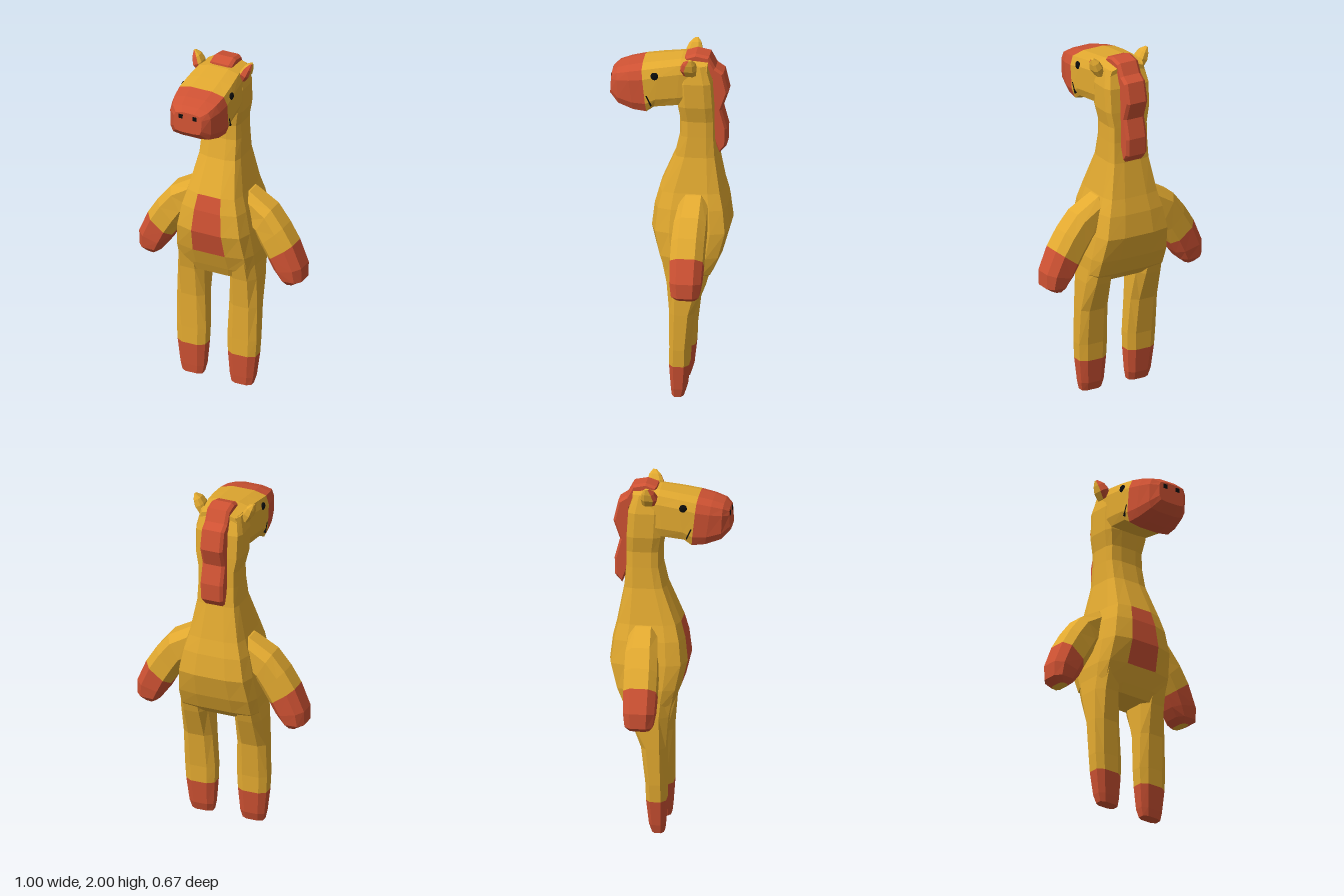
import * as THREE from 'three';

const mat = (color) => new THREE.MeshStandardMaterial({ color, flatShading: true });
const yellow = mat(0xe3aa30), red = mat(0xcf5233), black = mat(0x0c0c0c);
const V = (x, y, z) => new THREE.Vector3(x, y, z);

// Unit cross-sections; the last side of each one faces +v
const OCT = [[.55, 1], [1, .55], [1, -.55], [.55, -1], [-.55, -1], [-1, -.55], [-1, .55], [-.55, 1]];
const BOXY = [[.42, 1], [.88, .87], [1, .5], [1, -.55], [.88, -.92], [.42, -1],
  [-.42, -1], [-.88, -.92], [-1, -.55], [-1, .5], [-.88, .87], [-.42, 1]];

const ring = (shape, c, u, v) =>
  shape.map(([a, b]) => c.clone().addScaledVector(u, a).addScaledVector(v, b));

// Skin a closed solid over rings; isRed(i, j) picks the colour of band i, side j (caps: -1 and last)
function loft(name, rings, isRed = () => false) {
  const group = new THREE.Group();
  group.name = name;
  const tris = [];
  const n = rings[0].length, last = rings.length - 1;
  for (let i = 0; i < last; i++) {
    for (let j = 0; j < n; j++) {
      const k = (j + 1) % n, r = isRed(i, j);
      const [a, b, c, d] = [rings[i][j], rings[i][k], rings[i + 1][k], rings[i + 1][j]];
      tris.push([a, b, c, r], [a, c, d, r]);
    }
  }
  for (let j = 1; j < n - 1; j++) {
    tris.push([rings[0][0], rings[0][j + 1], rings[0][j], isRed(-1, j)]);
    tris.push([rings[last][0], rings[last][j], rings[last][j + 1], isRed(last, j)]);
  }
  // Turn the solid outward if its signed volume is negative
  const o = rings[0][0];
  const volume = tris.reduce((s, [a, b, c]) =>
    s + a.clone().sub(o).dot(b.clone().sub(o).cross(c.clone().sub(o))), 0);
  for (const wantRed of [false, true]) {
    const pos = [];
    for (const [a, b, c, r] of tris) {
      if (r !== wantRed) continue;
      for (const p of volume < 0 ? [a, c, b] : [a, b, c]) pos.push(p.x, p.y, p.z);
    }
    if (!pos.length) continue;
    const geo = new THREE.BufferGeometry();
    geo.setAttribute('position', new THREE.Float32BufferAttribute(pos, 3));
    geo.computeVertexNormals();
    const mesh = new THREE.Mesh(geo, wantRed ? red : yellow);
    mesh.name = name + (wantRed ? 'Red' : 'Yellow');
    group.add(mesh);
  }
  return group;
}

// Horizontal ring from x and z limits
const flatRing = (shape, y, x0, x1, z0, z1) =>
  ring(shape, V((x0 + x1) / 2, y, (z0 + z1) / 2), V((x1 - x0) / 2, 0, 0), V(0, 0, (z1 - z0) / 2));

function mesh(name, geo, material, x, y, z) {
  const m = new THREE.Mesh(geo, material);
  m.name = name;
  m.position.set(x, y, z);
  return m;
}

export function createModel() {
  const model = new THREE.Group();
  model.name = 'toyAnimal';

  // Torso and neck: y, half width, back z, front z; belly patch on the front
  const body = [
    [.685, .215, -.19, .0], [.74, .235, -.25, .025], [.84, .235, -.295, .065], [.98, .218, -.335, .1],
    [1.11, .192, -.32, .085], [1.2, .165, -.298, .06], [1.4, .125, -.26, -.025], [1.52, .12, -.25, -.052],
    [1.61, .118, -.25, -.053], [1.7, .137, -.247, -.037], [1.84, .14, -.238, -.03], [1.94, .12, -.205, -.05],
  ].map(([y, w, z0, z1]) => flatRing(BOXY, y, -w, w, z0, z1));
  model.add(loft('body', body, (i, j) => i >= 2 && i < 5 && j === 11));

  // Head with red muzzle: top z, bottom z, half width, top y, bottom y
  const head = [
    [-.21, -.2, .115, 1.955, 1.72], [-.06, -.04, .14, 1.964, 1.7], [.05, .085, .151, 1.948, 1.69],
    [.155, .125, .155, 1.932, 1.66], [.235, .2, .146, 1.914, 1.668], [.297, .287, .125, 1.893, 1.697],
    [.328, .335, .085, 1.866, 1.745],
  ].map(([zt, zb, w, yt, yb]) => ring(BOXY, V(0, (yt + yb) / 2, (zt + zb) / 2),
    V(w, 0, 0), V(0, (yt - yb) / 2, (zt - zb) / 2)));
  model.add(loft('head', head, (i) => i >= 3));

  // Mane: wavy side profile (back, up) extruded across the width
  const profile = [[.075, 1.94], [.08, 1.975], [.14, 1.995], [.215, 1.98], [.25, 1.915], [.295, 1.885], [.322, 1.77],
    [.285, 1.665], [.315, 1.555], [.312, 1.455], [.272, 1.41], [.235, 1.5], [.225, 1.85], [.17, 1.93]];
  const maneGeo = new THREE.ExtrudeGeometry(
    new THREE.Shape(profile.map(([x, y]) => new THREE.Vector2(x, y))),
    { depth: .1, bevelThickness: .017, bevelSize: .012, bevelOffset: -.012, bevelSegments: 1 });
  maneGeo.translate(0, 0, -.05).rotateY(Math.PI / 2);
  model.add(mesh('mane', maneGeo, red, 0, 0, 0));

  for (const s of [1, -1]) {
    const side = s > 0 ? 'left' : 'right';

    // Leg with red hoof: y, inner x, outer x, back z, front z
    const leg = [
      [0, .09, .212, -.088, -.022], [.05, .08, .224, -.105, -.017], [.19, .07, .24, -.12, -.008],
      [.29, .066, .246, -.123, -.01], [.5, .075, .246, -.147, -.01], [.68, .08, .242, -.215, .005],
      [.8, .09, .232, -.25, .03],
    ].map(([y, x0, x1, z0, z1]) => flatRing(OCT, y, s * x0, s * x1, z0, z1));
    model.add(loft(side + 'Leg', leg, (i) => i < 2));

    // Arm with red hand: outer edge x, y; inner edge x, y; back z, front z
    const arm = [
      [.11, 1.205, .11, 1, -.2, -.085], [.175, 1.195, .17, .98, -.22, -.06], [.31, 1.115, .215, .95, -.225, -.045],
      [.385, 1.02, .25, .89, -.222, -.038], [.445, .922, .297, .81, -.22, -.037], [.5, .79, .33, .748, -.215, -.04],
      [.5, .705, .365, .7, -.205, -.05], [.455, .675, .4, .67, -.18, -.075],
    ].map(([ax, ay, bx, by, z0, z1]) => ring(OCT, V(s * (ax + bx) / 2, (ay + by) / 2, (z0 + z1) / 2),
      V(s * (ax - bx) / 2, (ay - by) / 2, 0), V(0, 0, (z1 - z0) / 2)));
    model.add(loft(side + 'Arm', arm, (i) => i >= 4 && i < 7));

    // Ear with red inside: centre x, y, z; half width, half depth
    const ear = [
      [.125, 1.9, -.115, .02, .035], [.145, 1.94, -.11, .026, .045],
      [.16, 1.975, -.115, .02, .033], [.176, 2, -.12, .005, .01],
    ].map(([x, y, z, w, d]) => ring(OCT, V(s * x, y, z), V(s * w, -w * .5, 0), V(0, 0, d)));
    model.add(loft(side + 'Ear', ear, (i, j) => i >= 0 && i < 3 && (j === 7 || j === 0)));

    // Eye, mouth line and nostril
    const eye = mesh(side + 'Eye', new THREE.SphereGeometry(.023, 10, 8), black, s * .147, 1.885, .08);
    eye.scale.x = .5;
    const mouth = mesh(side + 'Mouth', new THREE.BoxGeometry(.012, .065, .007), black, s * .15, 1.74, .112);
    mouth.rotation.x = .42;
    const nostril = mesh(side + 'Nostril', new THREE.BoxGeometry(.025, .024, .012), black, s * .043, 1.84, .327);
    model.add(eye, mouth, nostril);
  }
  return model;
}
